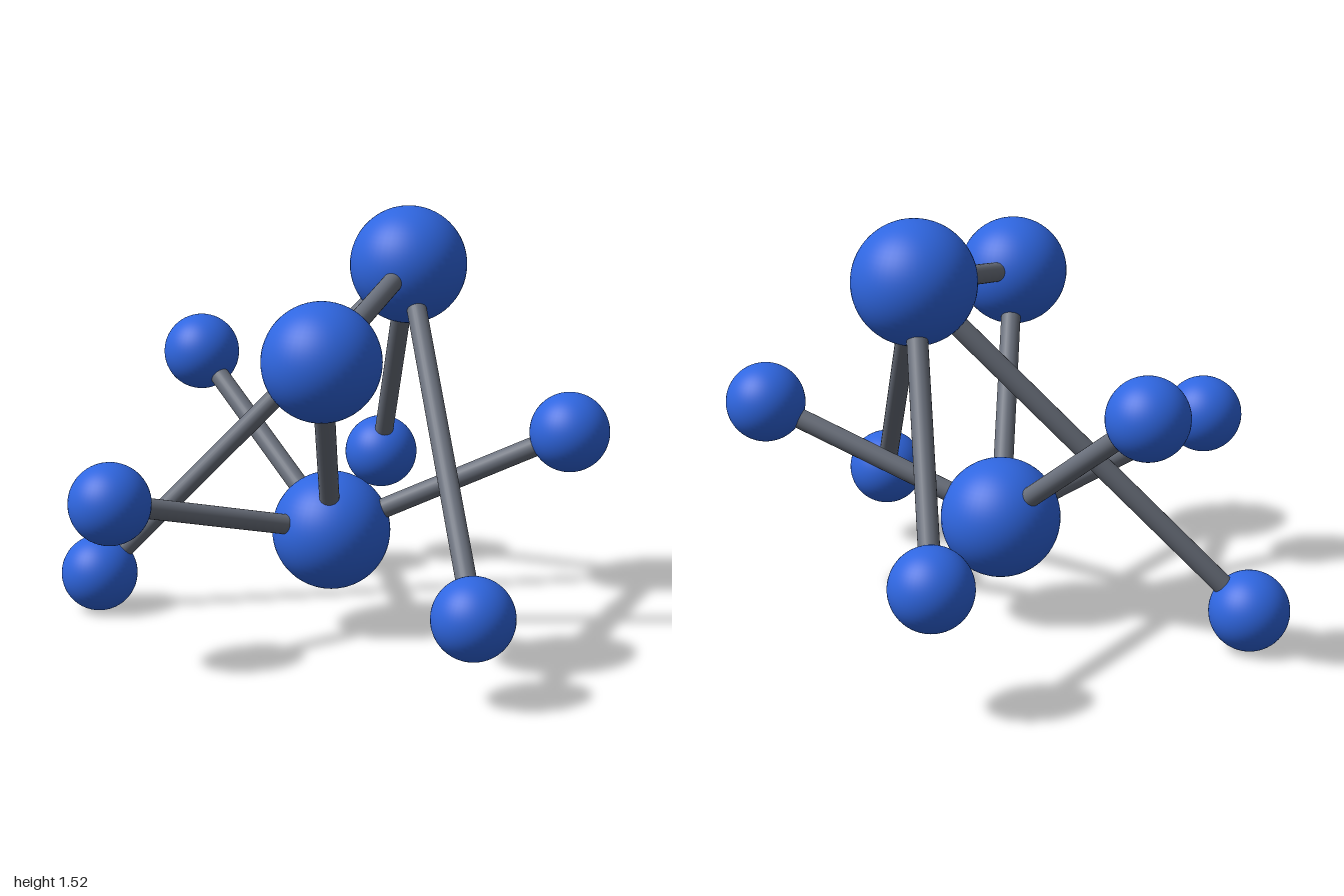
import * as THREE from 'three';

export function createModel() {
  const model = new THREE.Group();
  model.name = 'ballAndStickMolecule';

  const blue = new THREE.MeshStandardMaterial({ color: 0x2f66e0 });
  blue.name = 'atomBlue';
  const grey = new THREE.MeshStandardMaterial({ color: 0x6b717d });
  grey.name = 'bondGrey';

  // Atoms: radius and centre
  const atoms = {
    topAtom: [0.214, 0.454, 1.311, -0.05],
    lowerAtom: [0.214, 0.055, 0.385, -0.05],
    rightAtom: [0.2, -0.435, 1.133, 0.395],
    outerRightAtom: [0.142, -0.843, 0.618, -0.21],
    outerBackAtom: [0.142, 0.118, 0.931, -0.811],
    outerFrontAtom: [0.142, 0.57, 0.774, 0.627],
    outerLeftAtom: [0.142, 0.841, 0.461, -0.554],
    footBackAtom: [0.142, -0.368, 0.143, -0.858],
    footFrontAtom: [0.142, -0.192, 0.305, 0.856],
  };
  const centres = {};
  for (const [name, [radius, x, y, z]] of Object.entries(atoms)) {
    const atom = new THREE.Mesh(new THREE.SphereGeometry(radius, 48, 32), blue);
    atom.name = name;
    atom.position.set(x, y, z);
    centres[name] = atom.position;
    model.add(atom);
  }

  // Bonds: straight rods from centre to centre
  const bonds = [
    ['topAtom', 'rightAtom'],
    ['rightAtom', 'lowerAtom'],
    ['lowerAtom', 'outerRightAtom'],
    ['lowerAtom', 'outerBackAtom'],
    ['lowerAtom', 'outerFrontAtom'],
    ['topAtom', 'outerLeftAtom'],
    ['topAtom', 'footBackAtom'],
    ['topAtom', 'footFrontAtom'],
  ];
  const up = new THREE.Vector3(0, 1, 0);
  for (const [from, to] of bonds) {
    const a = centres[from];
    const b = centres[to];
    const along = b.clone().sub(a);
    const bond = new THREE.Mesh(new THREE.CylinderGeometry(0.036, 0.036, along.length(), 24), grey);
    bond.name = `bond_${from}_${to}`;
    bond.position.copy(a).add(b).multiplyScalar(0.5);
    bond.quaternion.setFromUnitVectors(up, along.normalize());
    model.add(bond);
  }

  return model;
}
